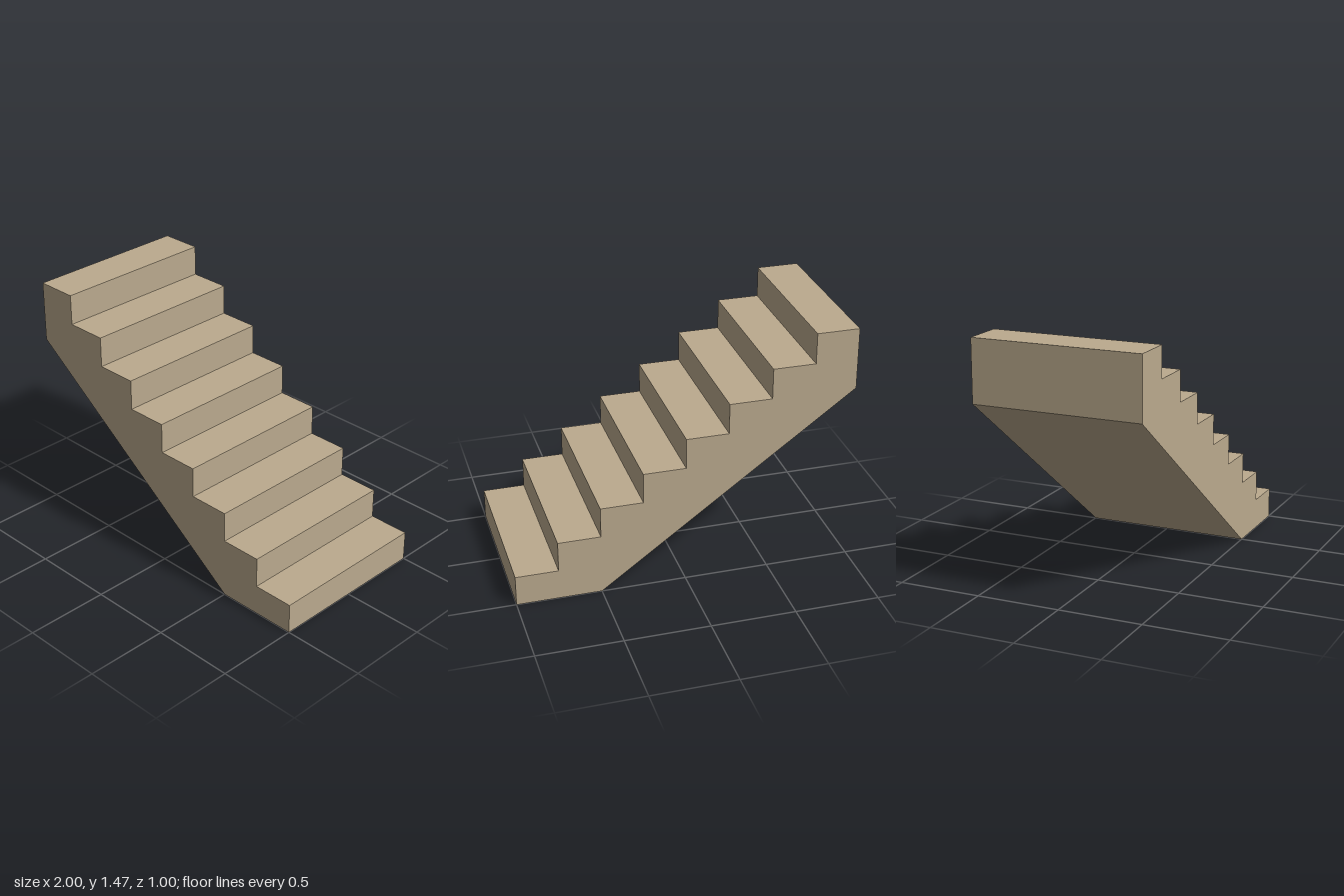
import * as THREE from 'three';

const STEPS = 8;
const RUN = 2 / STEPS;        // tread depth
const RISE = 1.4667 / STEPS;  // riser height
const WIDTH = 1;

export function createModel() {
  const stone = new THREE.MeshStandardMaterial({ color: 0xbbaa8e });
  stone.name = 'sandstone';

  // Side profile: flat foot, stepped top, sloping underside
  const profile = new THREE.Shape();
  profile.moveTo(1 - 2 * RUN, 0);
  profile.lineTo(1, 0);
  for (let i = 0; i < STEPS; i++) {
    const y = (i + 1) * RISE;
    profile.lineTo(1 - i * RUN, y);
    profile.lineTo(1 - (i + 1) * RUN, y);
  }
  profile.lineTo(-1, (STEPS - 2) * RISE);
  profile.closePath();

  // Solid flight of stairs
  const geometry = new THREE.ExtrudeGeometry(profile, { depth: WIDTH, bevelEnabled: false });
  geometry.translate(0, 0, -WIDTH / 2);
  const stairs = new THREE.Mesh(geometry, stone);
  stairs.name = 'stairFlight';

  const group = new THREE.Group();
  group.name = 'staircase';
  group.add(stairs);
  return group;
}
